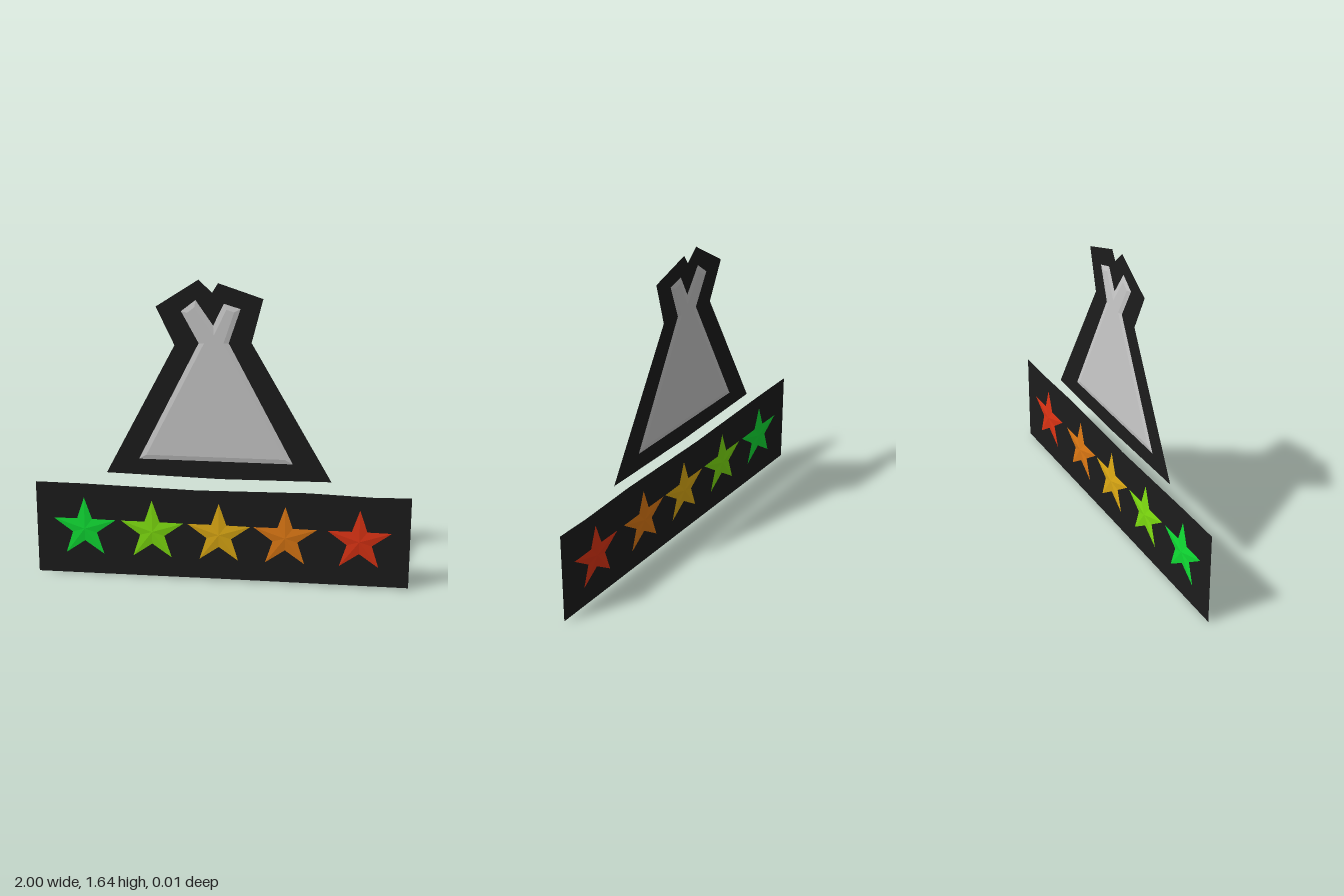
import * as THREE from 'three';

const material = (color) => new THREE.MeshStandardMaterial({ color, flatShading: true, side: THREE.DoubleSide });
const toVectors = (pairs) => pairs.map(([x, y]) => new THREE.Vector2(x, y));

// Flat sheet cut to an outline
function sheet(name, pairs, color) {
  const mesh = new THREE.Mesh(new THREE.ShapeGeometry(new THREE.Shape(toVectors(pairs))), material(color));
  mesh.name = name;
  return mesh;
}

function meshFromTriangles(name, positions, color) {
  const geometry = new THREE.BufferGeometry();
  geometry.setAttribute('position', new THREE.Float32BufferAttribute(positions, 3));
  geometry.computeVertexNormals();
  const mesh = new THREE.Mesh(geometry, material(color));
  mesh.name = name;
  return mesh;
}

// Adds a triangle to the front and its mirror image to the back
function addBothSides(out, a, b, c) {
  out.push(...a, ...b, ...c);
  for (const p of [a, c, b]) out.push(p[0], p[1], -p[2]);
}

// Moves each corner of a counter-clockwise outline inward by a distance
function inset(points, distance) {
  const n = points.length;
  return points.map((p, i) => {
    const d1 = p.clone().sub(points[(i + n - 1) % n]).normalize();
    const d2 = points[(i + 1) % n].clone().sub(p).normalize();
    const n1 = new THREE.Vector2(-d1.y, d1.x);
    const n2 = new THREE.Vector2(-d2.y, d2.x);
    return p.clone().addScaledVector(n1.clone().add(n2), distance / (1 + n1.dot(n2)));
  });
}

// Thin plate with sloping edges on both faces
function bevelledPlate(name, pairs, width, rim, height, color) {
  const outer = toVectors(pairs);
  const inner = inset(outer, width);
  const low = outer.map((p) => [p.x, p.y, rim]);
  const high = inner.map((p) => [p.x, p.y, height]);
  const out = [];
  low.forEach((p, i) => {
    const j = (i + 1) % low.length;
    addBothSides(out, p, low[j], high[j]);
    addBothSides(out, p, high[j], high[i]);
  });
  for (const [a, b, c] of THREE.ShapeUtils.triangulateShape(inner, [])) {
    addBothSides(out, high[a], high[b], high[c]);
  }
  return meshFromTriangles(name, out, color);
}

// Five-pointed star with a shallow peak on both faces
function star(name, x, y, radius, color) {
  const rim = Array.from({ length: 10 }, (_, i) => {
    const angle = Math.PI / 2 + (i * Math.PI) / 5;
    const r = i % 2 ? radius * 0.39 : radius;
    return [x + r * Math.cos(angle), y + r * Math.sin(angle), 0.001];
  });
  const out = [];
  rim.forEach((p, i) => addBothSides(out, p, rim[(i + 1) % 10], [x, y, 0.007]));
  return meshFromTriangles(name, out, color);
}

export function createModel() {
  const group = new THREE.Group();
  group.name = 'tentRatingSign';

  // Dark backing sheets
  group.add(sheet('tentBorder', [
    [-0.61, 0.59], [0, 0.58], [0.58, 0.59], [0.157, 1.325], [0.215, 1.555],
    [-0.015, 1.63], [-0.045, 1.58], [-0.115, 1.645], [-0.335, 1.5], [-0.24, 1.3],
  ], 0x1c1c1c));
  group.add(sheet('starPanel', [
    [-1, 0], [0, 0.007], [1, 0.01], [1, 0.52], [0.8, 0.515], [0.46, 0.523],
    [-0.13, 0.51], [-0.75, 0.52], [-1, 0.52],
  ], 0x1c1c1c));

  // Tent with two crossed pole ends
  group.add(bevelledPlate('tent', [
    [-0.435, 0.675], [0.377, 0.68], [0.04, 1.32], [0.1, 1.5], [0.015, 1.525],
    [-0.04, 1.41], [-0.13, 1.54], [-0.205, 1.48], [-0.115, 1.315],
  ], 0.025, 0.001, 0.006, 0xcccccc));

  // Row of stars from green to red
  const stars = [
    [-0.74, 0x10e035], [-0.372, 0x80e010], [-0.012, 0xe0ac14], [0.342, 0xe07a14], [0.735, 0xe03414],
  ];
  stars.forEach(([x, color], i) => group.add(star(`star${i + 1}`, x, 0.262, 0.178, color)));

  return group;
}
